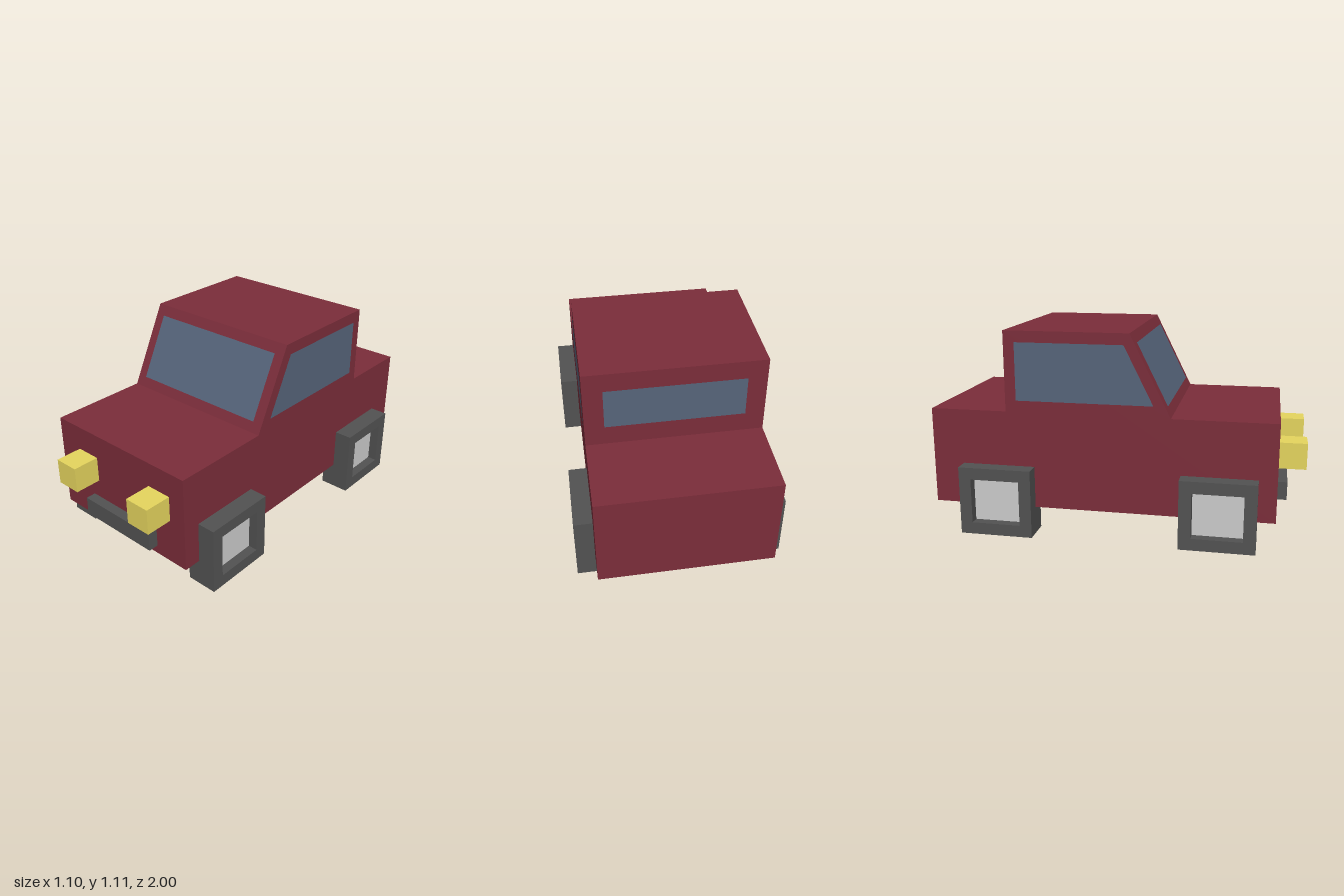
import * as THREE from 'three';

const paint = (color, side = THREE.FrontSide) =>
  new THREE.MeshStandardMaterial({ color, side, flatShading: true });

export function createModel() {
  const model = new THREE.Group();
  model.name = 'pickupTruck';
  const red = paint(0x7b2d3a);
  const dark = paint(0x525252);
  const yellow = paint(0xe6d65e);
  const silver = paint(0xcccccc);
  const glass = paint(0x56647a, THREE.DoubleSide);

  const add = (name, geometry, material, parent = model) => {
    const mesh = new THREE.Mesh(geometry, material);
    mesh.name = name;
    parent.add(mesh);
    return mesh;
  };

  // Box given by its lower and upper limits on each axis
  const box = (name, [x0, x1], [y0, y1], [z0, z1], material, parent) =>
    add(name, new THREE.BoxGeometry(x1 - x0, y1 - y0, z1 - z0), material, parent)
      .position.set((x0 + x1) / 2, (y0 + y1) / 2, (z0 + z1) / 2);

  // Flat four-cornered pane, corners counter-clockwise from outside
  const pane = (name, corners) => {
    const g = new THREE.BufferGeometry();
    g.setAttribute('position', new THREE.Float32BufferAttribute(corners.flat(), 3));
    g.setIndex([0, 1, 2, 0, 2, 3]);
    g.computeVertexNormals();
    add(name, g, glass);
  };

  // Body and cabin: one side profile (z, y) extruded across the width
  const left = 0.45, right = -0.465;
  const profile = new THREE.Shape([
    [0.855, 0.147], [0.855, 0.675], [0.305, 0.675], [0.09, 1.107],
    [-0.58, 1.107], [-0.58, 0.675], [-1, 0.675], [-1, 0.147],
  ].map(([z, y]) => new THREE.Vector2(z, y)));
  const body = new THREE.ExtrudeGeometry(profile, { depth: left - right, bevelEnabled: false });
  body.rotateY(-Math.PI / 2).translate(left, 0, 0);
  add('body', body, red);

  // Windows, lying just proud of the cabin
  const gap = 0.003;
  const slopeZ = (y) => 0.305 - (y - 0.675) * (0.215 / 0.432) + gap;
  pane('windscreen', [
    [-0.41, 0.727, slopeZ(0.727)], [0.395, 0.727, slopeZ(0.727)],
    [0.395, 1.055, slopeZ(1.055)], [-0.41, 1.055, slopeZ(1.055)],
  ]);
  const back = -0.58 - gap;
  pane('rearWindow', [
    [0.35, 0.785, back], [-0.365, 0.785, back], [-0.365, 1.007, back], [0.35, 1.007, back],
  ]);
  const sideOutline = [[0.215, 0.737], [-0.52, 0.737], [-0.52, 1.047], [0.06, 1.047]];
  pane('leftWindow', sideOutline.map(([z, y]) => [left + gap, y, z]));
  pane('rightWindow', sideOutline.map(([z, y]) => [right - gap, y, z]).reverse());

  // Front fittings
  box('rightHeadlight', [-0.32, -0.18], [0.4, 0.54], [0.855, 1], yellow);
  box('leftHeadlight', [0.21, 0.352], [0.4, 0.54], [0.855, 1], yellow);
  box('bumper', [-0.23, 0.25], [0.195, 0.295], [0.855, 0.91], dark);

  // Square wheels: solid inner block, outer rim with a square recess, hub plate
  const rectangle = (Type, w, h) => new Type([
    new THREE.Vector2(-w, -h), new THREE.Vector2(w, -h),
    new THREE.Vector2(w, h), new THREE.Vector2(-w, h),
  ]);
  const rimShape = rectangle(THREE.Shape, 0.2, 0.1875);
  rimShape.holes.push(rectangle(THREE.Path, 0.134, 0.1225));
  const rim = new THREE.ExtrudeGeometry(rimShape, { depth: 0.055, bevelEnabled: false });
  for (const [end, z] of [['front', 0.56], ['rear', -0.63]]) {
    for (const [side, s] of [['Left', 1], ['Right', -1]]) {
      const wheel = new THREE.Group();
      wheel.name = `${end}${side}Wheel`;
      box('tyreBlock', [-0.2, 0.2], [-0.1875, 0.1875], [0, 0.115], dark, wheel);
      add('tyreRim', rim, dark, wheel).position.z = 0.115;
      add('hub', new THREE.PlaneGeometry(0.268, 0.245), silver, wheel).position.z = 0.118;
      wheel.rotation.y = s * Math.PI / 2;
      wheel.position.set(s * 0.379, 0.1875, z);
      model.add(wheel);
    }
  }
  return model;
}
